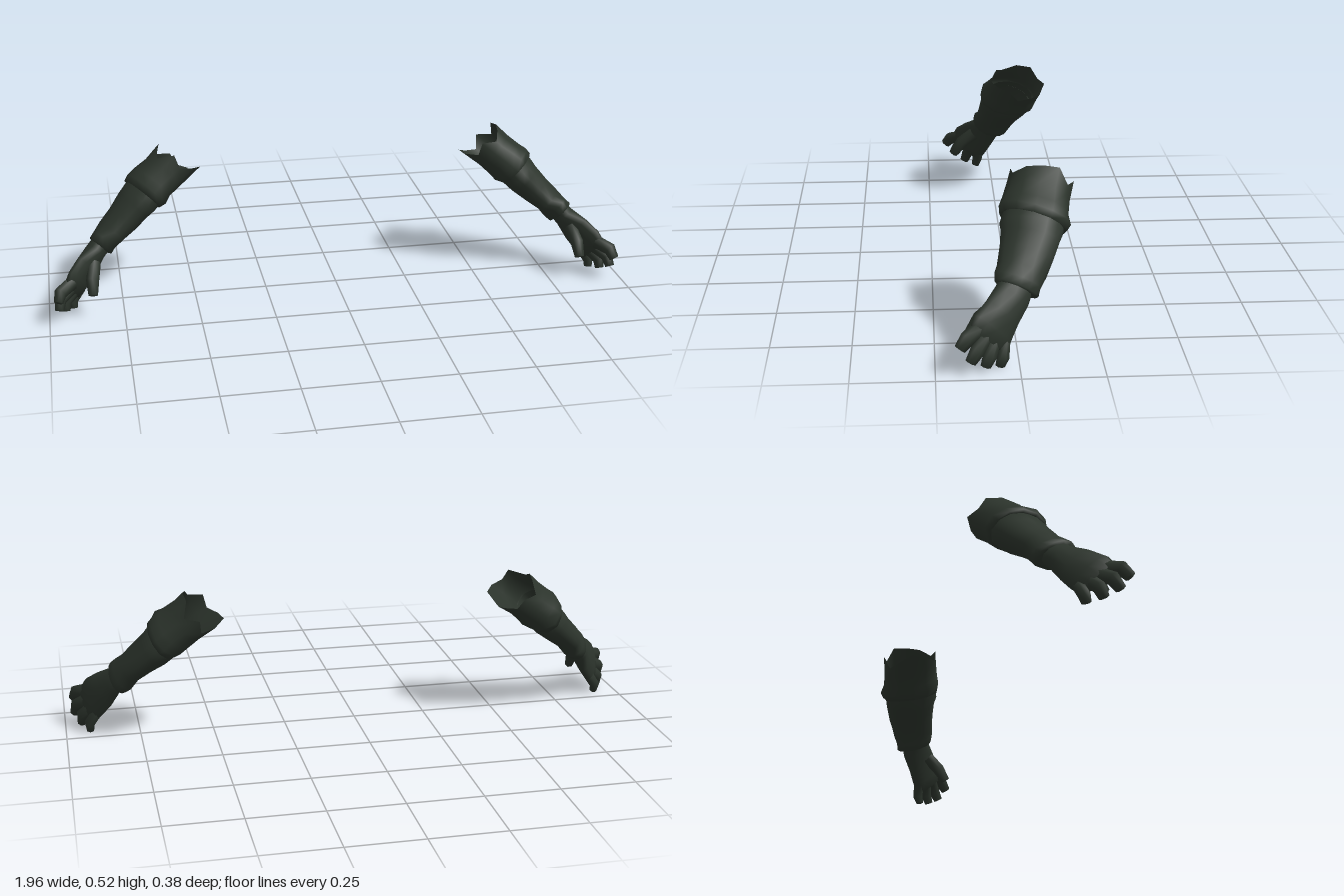
import * as THREE from 'three';

const cloth = new THREE.MeshStandardMaterial({ color: 0x2c342c, side: THREE.DoubleSide });
cloth.name = 'darkCloth';

const V3 = (a) => new THREE.Vector3(...a);

// Tube through rings of { c: centre, u: outward hint, r: [outward radius, sideways radius] }.
// Optional per-ring: jag (shifts along the axis) and fold (wrinkle strength).
function loft(name, rings, side, n, cap = false) {
  const pos = [], idx = [];
  const centres = rings.map((r) => V3(r.c));
  rings.forEach((ring, i) => {
    const t = centres[Math.min(i + 1, rings.length - 1)].clone()
      .sub(centres[Math.max(i - 1, 0)]).normalize();
    if (ring.t) t.copy(V3(ring.t)).normalize();
    const u = V3(ring.u);
    u.addScaledVector(t, -u.dot(t)).normalize();
    const v = t.clone().cross(u);
    for (let j = 0; j < n; j++) {
      const a = (j / n) * Math.PI * 2;
      const w = 1 + (ring.fold || 0) * Math.sin(3 * a + i * 1.9);
      const p = centres[i].clone()
        .addScaledVector(u, Math.cos(a) * ring.r[0] * w)
        .addScaledVector(v, Math.sin(a) * ring.r[1] * w);
      if (ring.jag) p.addScaledVector(t, -ring.jag[j % ring.jag.length]);
      pos.push(p.x * side, p.y, p.z);
    }
  });
  const face = (a, b, c) => (side > 0 ? idx.push(a, b, c) : idx.push(a, c, b));
  for (let i = 0; i < rings.length - 1; i++) {
    for (let j = 0; j < n; j++) {
      const k = (j + 1) % n, a = i * n, b = a + n;
      face(a + j, a + k, b + k);
      face(a + j, b + k, b + j);
    }
  }
  // closed end
  if (cap) {
    const e = centres[centres.length - 1], m = pos.length / 3, b = m - n;
    pos.push(e.x * side, e.y, e.z);
    for (let j = 0; j < n; j++) face(b + j, b + ((j + 1) % n), m);
  }
  const g = new THREE.BufferGeometry();
  g.setAttribute('position', new THREE.Float32BufferAttribute(pos, 3));
  g.setIndex(idx);
  g.computeVertexNormals();
  const mesh = new THREE.Mesh(g, cloth);
  mesh.name = name;
  return mesh;
}

const ARM_U = [0.7, 0.7, 0], MID_U = [0.78, 0.55, -0.25], HAND_U = [0.8, 0.25, -0.5];
const AXIS = [0.68, -0.66, 0.3];

// Torn rims, starting at the outer side and going round by the front
const TORN = {
  1: [0.012, 0.0, -0.02, 0.012, -0.008, 0.022, 0.045, 0.02, -0.01, 0.025, -0.012, 0.024],
  '-1': [0.005, -0.03, 0.012, -0.01, 0.02, 0.045, 0.005, 0.025, 0.012, 0.028, -0.005, 0.022],
};

function buildArm(side) {
  const arm = new THREE.Group();
  arm.name = side > 0 ? 'leftArm' : 'rightArm';

  // Torn upper sleeve, open at the top and flaring into a lip over the forearm
  arm.add(loft('upperSleeve', [
    { c: [0.55, 0.46, -0.088], u: ARM_U, t: AXIS, r: [0.078, 0.1], jag: TORN[side] },
    { c: [0.585, 0.432, -0.078], u: ARM_U, t: AXIS, r: [0.072, 0.101], fold: 0.03 },
    { c: [0.625, 0.402, -0.068], u: ARM_U, t: AXIS, r: [0.074, 0.105], fold: 0.03 },
    { c: [0.648, 0.382, -0.06], u: ARM_U, t: AXIS, r: [0.078, 0.114], fold: 0.03 },
    { c: [0.664, 0.366, -0.055], u: ARM_U, t: AXIS, r: [0.071, 0.107], fold: 0.04 },
    { c: [0.66, 0.37, -0.056], u: ARM_U, t: AXIS, r: [0.06, 0.094] },
  ], side, 12));

  // Forearm sleeve ending in a wrist cuff
  arm.add(loft('forearmSleeve', [
    { c: [0.63, 0.392, -0.063], u: ARM_U, r: [0.06, 0.092] },
    { c: [0.67, 0.355, -0.053], u: ARM_U, r: [0.064, 0.1], fold: 0.03 },
    { c: [0.695, 0.33, -0.047], u: ARM_U, r: [0.06, 0.093], fold: 0.03 },
    { c: [0.735, 0.292, -0.03], u: ARM_U, r: [0.053, 0.085], fold: 0.03 },
    { c: [0.775, 0.255, -0.014], u: ARM_U, r: [0.047, 0.077], fold: 0.03 },
    { c: [0.8, 0.23, -0.002], u: MID_U, r: [0.045, 0.074], fold: 0.04 },
    { c: [0.816, 0.213, 0.006], u: MID_U, r: [0.045, 0.071], fold: 0.04 },
    { c: [0.819, 0.21, 0.008], u: MID_U, t: AXIS, r: [0.032, 0.052] },
  ], side, 14));

  // Gloved palm
  arm.add(loft('palm', [
    { c: [0.8, 0.232, -0.002], u: MID_U, r: [0.034, 0.054] },
    { c: [0.833, 0.198, 0.018], u: MID_U, r: [0.035, 0.057] },
    { c: [0.868, 0.158, 0.05], u: HAND_U, r: [0.032, 0.068] },
    { c: [0.9, 0.122, 0.079], u: HAND_U, r: [0.029, 0.078] },
    { c: [0.922, 0.094, 0.099], u: HAND_U, r: [0.02, 0.07] },
  ], side, 12, true));

  // Short curled fingers, each [name, base, bend, tip, radius]
  const digits = [
    ['indexFinger', [0.918, 0.135, 0.122], [0.958, 0.118, 0.158], [0.967, 0.092, 0.178], 0.022],
    ['middleFinger', [0.915, 0.112, 0.1], [0.96, 0.08, 0.128], [0.966, 0.048, 0.147], 0.021],
    ['ringFinger', [0.905, 0.092, 0.076], [0.943, 0.055, 0.09], [0.945, 0.024, 0.102], 0.02],
    ['littleFinger', [0.893, 0.078, 0.046], [0.92, 0.038, 0.05], [0.918, 0.012, 0.058], 0.018],
    ['thumb', [0.84, 0.175, 0.065], [0.85, 0.135, 0.115], [0.852, 0.092, 0.143], 0.022],
  ];
  for (const [name, base, bend, tip, r] of digits) {
    arm.add(loft(name, [
      { c: base, u: HAND_U, r: [r, r * 1.15] },
      { c: bend, u: HAND_U, r: [r, r * 1.1] },
      { c: tip, u: HAND_U, r: [r * 0.72, r * 0.85] },
    ], side, 7, true));
  }
  return arm;
}

export function createModel() {
  const model = new THREE.Group();
  model.name = 'slevedArms';
  model.add(buildArm(1), buildArm(-1));
  return model;
}
